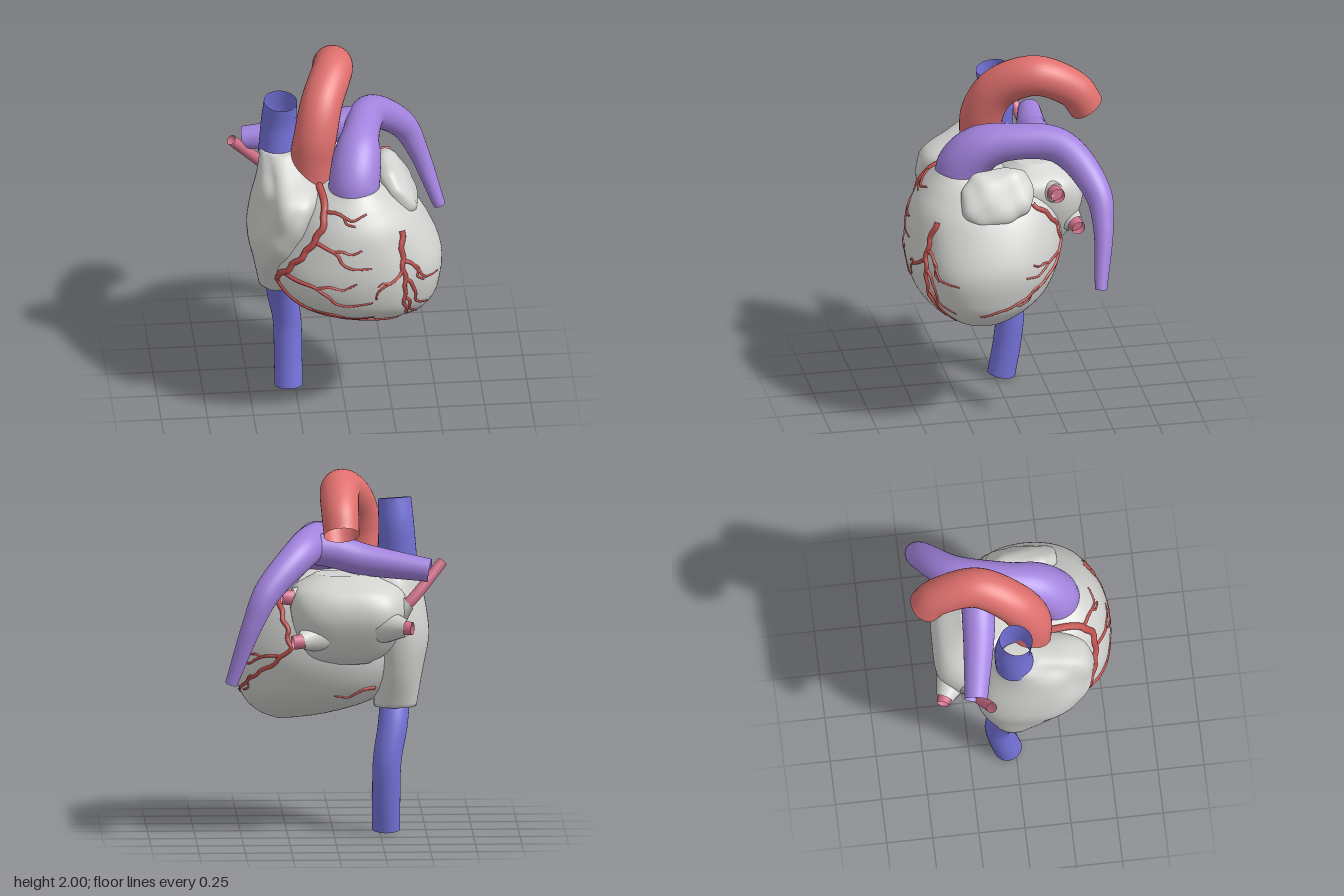
import * as THREE from 'three';

const mat = (name, color, side = THREE.FrontSide) => {
  const m = new THREE.MeshStandardMaterial({ color, side });
  m.name = name;
  return m;
};
const bell = (x, centre, width) => Math.exp(-(((x - centre) / width) ** 2));

// Closed loft of rounded horizontal sections; rows are [y, xMin, xMax, zMin, zMax]
function loft(rows, power, bump, steps = 56, sides = 72) {
  const spline = (pick) => new THREE.CatmullRomCurve3(rows.map(pick), false, 'catmullrom', 0.5);
  const mid = spline(([y, a, b, c, d]) => new THREE.Vector3((a + b) / 2, y, (c + d) / 2));
  const half = spline(([, a, b, c, d]) => new THREE.Vector3((b - a) / 2, 0, (d - c) / 2));
  const pos = [], idx = [];
  const bend = (v) => Math.sign(v) * Math.abs(v) ** (2 / power);
  for (let i = 0; i <= steps; i++) {
    const c = mid.getPoint(i / steps), r = half.getPoint(i / steps);
    for (let j = 0; j < sides; j++) {
      const a = (j / sides) * Math.PI * 2, k = 1 + bump(a, c.y);
      pos.push(c.x + bend(Math.cos(a)) * r.x * k, c.y, c.z + bend(Math.sin(a)) * r.z * k);
      if (i < steps) {
        const n = (j + 1) % sides, p = i * sides;
        idx.push(p + j, p + sides + j, p + n, p + sides + j, p + sides + n, p + n);
      }
    }
  }
  const base = pos.length / 3, top = steps * sides;
  pos.push(...mid.getPoint(0).toArray(), ...mid.getPoint(1).toArray());
  for (let j = 0; j < sides; j++) {
    const n = (j + 1) % sides;
    idx.push(base, j, n, base + 1, top + n, top + j);
  }
  const g = new THREE.BufferGeometry();
  g.setAttribute('position', new THREE.Float32BufferAttribute(pos, 3));
  g.setIndex(idx);
  g.computeVertexNormals();
  return g;
}

// Open tube whose radius changes along the path; rows are [x, y, z, radius]
function vessel(rows, segs = 64, sides = 32) {
  const curve = new THREE.CatmullRomCurve3(rows.map((p) => new THREE.Vector3(p[0], p[1], p[2])));
  const radii = new THREE.CatmullRomCurve3(rows.map((p) => new THREE.Vector3(p[3], 0, 0)), false, 'catmullrom', 0.5);
  const g = new THREE.TubeGeometry(curve, segs, 1, sides);
  const p = g.attributes.position, n = g.attributes.normal;
  for (let i = 0; i <= segs; i++) {
    const u = i / segs, c = curve.getPointAt(u), r = radii.getPoint(curve.getUtoTmapping(u)).x;
    for (let j = 0; j <= sides; j++) {
      const k = i * (sides + 1) + j;
      p.setXYZ(k, c.x + n.getX(k) * r, c.y + n.getY(k) * r, c.z + n.getZ(k) * r);
    }
  }
  return g;
}

export function createModel() {
  const root = new THREE.Group();
  root.name = 'heart';
  const muscle = mat('muscleGrey', 0xd2d2d0);
  const red = mat('aortaRed', 0xdf706e, THREE.DoubleSide);
  const blue = mat('veinBlue', 0x7573da, THREE.DoubleSide);
  const purple = mat('pulmonaryPurple', 0xa383de, THREE.DoubleSide);
  const pink = mat('pulmonaryVeinPink', 0xd2728c, THREE.DoubleSide);
  const coronary = mat('coronaryRed', 0xc2524f);

  const add = (name, geometry, material) => {
    const m = new THREE.Mesh(geometry, material);
    m.name = name;
    root.add(m);
    return m;
  };

  // Ventricles: shallow groove between the chambers, fuller on both front corners
  const chambers = (a, y) => 0.05 * bell(a, 2.35, 0.45) * bell(y, 0.88, 0.2) + 0.03 * bell(a, 0.6, 0.35) * bell(y, 0.9, 0.25)
    - 0.035 * bell(a, 0.98, 0.13) * THREE.MathUtils.smoothstep(1.3 - y, 0, 0.25);
  const ventricles = add('ventricles', loft([
    [0.598, 0.22, 0.31, 0.1, 0.2], [0.63, 0, 0.395, 0, 0.34], [0.7, -0.22, 0.47, -0.13, 0.45],
    [0.8, -0.35, 0.512, -0.23, 0.52], [0.98, -0.4, 0.52, -0.29, 0.55], [1.2, -0.32, 0.415, -0.27, 0.52],
    [1.33, -0.23, 0.3, -0.16, 0.455], [1.42, -0.07, 0.17, 0.12, 0.38],
  ], 2.1, chambers), muscle);

  // Right atrium: lumpy front edge, outer front corner drawn in towards the top
  const lumps = (a, y) => Math.max(0, Math.sin(a)) * (0.018 * Math.sin(7 * a + 19 * y) + 0.012 * Math.sin(31 * y - 4 * a))
    - 0.2 * bell(a, 2.35, 0.5) * THREE.MathUtils.smoothstep(y, 0.98, 1.35);
  const rightAtrium = add('rightAtrium', loft([
    [0.685, -0.45, -0.22, -0.13, 0.1], [0.87, -0.485, -0.22, -0.19, 0.26], [1.05, -0.52, -0.19, -0.22, 0.37],
    [1.2, -0.51, -0.15, -0.22, 0.42], [1.36, -0.478, -0.13, -0.18, 0.41], [1.46, -0.457, -0.2, -0.12, 0.25],
    [1.54, -0.445, -0.245, -0.09, 0.12],
  ], 2.2, lumps), muscle);

  // Left atrium at the back, fuller on the side of the right veins
  add('leftAtrium', loft([
    [0.95, -0.2, 0.1, -0.28, -0.05], [1.02, -0.3, 0.17, -0.36, 0], [1.2, -0.385, 0.235, -0.425, 0.05],
    [1.34, -0.36, 0.23, -0.39, 0.05], [1.43, -0.18, 0.1, -0.26, -0.05],
  ], 2.7, (a, y) => 0.015 * Math.sin(3 * a + 9 * y) + 0.08 * bell(a, 4.2, 0.4) * bell(y, 1.2, 0.15)), muscle);

  // Left auricle: a flattened, boxy, lumpy flap
  const flap = new THREE.SphereGeometry(1, 48, 32);
  const fp = flap.attributes.position, v = new THREE.Vector3();
  const boxy = (s) => Math.sign(s) * Math.abs(s) ** 0.8;
  for (let i = 0; i < fp.count; i++) {
    v.fromBufferAttribute(fp, i);
    const k = 1 + 0.03 * Math.sin(6 * v.y + 4 * v.z) + 0.03 * Math.sin(9 * v.z - 3 * v.y);
    fp.setXYZ(i, boxy(v.x) * k, boxy(v.y) * k - 0.15 * v.z, boxy(v.z) * k);
  }
  flap.scale(0.075, 0.155, 0.2).rotateZ(0.56).translate(0.285, 1.338, 0.095);
  flap.computeVertexNormals();
  const auricle = add('leftAuricle', flap, muscle);

  // Great vessels
  add('aorta', vessel([
    [-0.175, 1.3, 0.09, 0.105], [-0.172, 1.5, 0.095, 0.115], [-0.15, 1.65, 0.09, 0.116], [-0.11, 1.8, 0.01, 0.113],
    [-0.035, 1.89, -0.18, 0.109], [-0.025, 1.79, -0.39, 0.101], [-0.03, 1.685, -0.458, 0.096],
  ]), red);
  add('pulmonaryTrunkAndLeftArtery', vessel([
    [0.04, 1.3, 0.24, 0.13], [0.045, 1.42, 0.245, 0.138], [0.07, 1.53, 0.15, 0.13], [0.1, 1.573, 0, 0.102],
    [0.18, 1.56, -0.27, 0.094], [0.37, 1.37, -0.435, 0.075], [0.45, 1.2, -0.455, 0.056], [0.565, 0.87, -0.42, 0.033],
  ]), purple);
  add('rightPulmonaryArtery', vessel([
    [0.14, 1.57, -0.17, 0.085], [0, 1.55, -0.17, 0.09], [-0.15, 1.51, -0.182, 0.086], [-0.515, 1.455, -0.238, 0.062],
  ]), purple);
  add('inferiorVenaCava', vessel([
    [-0.335, 0.72, 0, 0.08], [-0.32, 0.58, -0.055, 0.08], [-0.29, 0.4, -0.088, 0.077], [-0.285, 0.2, -0.072, 0.076],
    [-0.285, 0.013, -0.04, 0.076],
  ]), blue);
  add('superiorVenaCava', vessel([[-0.347, 1.5, -0.01, 0.105], [-0.34, 1.68, -0.02, 0.096], [-0.332, 1.815, 0, 0.09]]), blue);

  // Pulmonary veins: grey sleeve from the left atrium, open pink end with a floor inside
  const vein = (a, b, c, radius) => {
    const neck = a.map((s, i) => s * 0.4 + b[i] * 0.6);
    add('pulmonaryVeinSleeve', vessel([[...a, 0.1], [...neck, radius + 0.03], [...b, radius + 0.008]], 16, 24), muscle);
    add('pulmonaryVein', vessel([[...a, radius], [...b, radius], [...c, radius * 0.92]], 20, 20), pink);
    const floor = add('pulmonaryVeinFloor', new THREE.CircleGeometry(radius, 20), pink);
    floor.position.set(...b);
    floor.lookAt(...c);
  };
  vein([-0.3, 1.2, -0.25], [-0.4, 1.28, -0.25], [-0.585, 1.49, -0.16], 0.031);
  vein([-0.26, 1.17, -0.33], [-0.385, 1.165, -0.395], [-0.415, 1.165, -0.405], 0.038);
  vein([0.12, 1.29, -0.2], [0.235, 1.31, -0.235], [0.285, 1.315, -0.24], 0.042);
  vein([0.06, 1.12, -0.3], [0.185, 1.09, -0.355], [0.23, 1.085, -0.365], 0.04);

  // Coronary arteries: flat paths dropped onto the heart surface
  const ray = new THREE.Raycaster();
  const targets = [ventricles, rightAtrium, auricle];
  targets.forEach((m) => m.updateMatrixWorld());
  const sides = {
    front: (s, y) => ray.set(new THREE.Vector3(s, y, 3), new THREE.Vector3(0, 0, -1)),
    back: (s, y) => ray.set(new THREE.Vector3(s, y, -3), new THREE.Vector3(0, 0, 1)),
    left: (s, y) => ray.set(new THREE.Vector3(3, y, s), new THREE.Vector3(-1, 0, 0)),
  };
  const lay = (name, side, path, r0, r1) => {
    const flat = new THREE.CatmullRomCurve3(path.map(([s, y]) => new THREE.Vector3(s, y, 0)));
    const rows = [], count = Math.max(5, Math.round(flat.getLength() / 0.03));
    for (let i = 0; i <= count; i++) {
      const q = flat.getPointAt(i / count);
      sides[side](q.x + 0.006 * Math.sin(i * 1.7), q.y);
      const hit = ray.intersectObjects(side === 'back' ? [ventricles] : targets)[0];
      if (hit) rows.push([...hit.point.toArray(), THREE.MathUtils.lerp(r0, r1, i / count)]);
    }
    add(name, vessel(rows, count * 2, 8), coronary);
  };

  // Main arteries; the right one leaves the aortic root and follows the atrial edge
  lay('rightCoronary', 'front', [
    [-0.15, 1.4], [-0.125, 1.36], [-0.14, 1.28], [-0.225, 1.13], [-0.33, 0.985], [-0.375, 0.88], [-0.31, 0.79], [-0.02, 0.675],
    [0.28, 0.625],
  ], 0.021, 0.01);
  lay('leftDescending', 'front', [[0.285, 1.22], [0.285, 1.05], [0.3, 0.93], [0.295, 0.81], [0.32, 0.68]], 0.018, 0.009);
  lay('circumflex', 'left', [[-0.1, 1.28], [-0.2, 1.19], [-0.255, 1.07], [-0.235, 0.97], [-0.02, 0.81], [0.22, 0.725]], 0.015, 0.006);

  // Side branches: a wavy line at an angle, with a smaller twig forking off
  const branch = (side, s, y, angle, length, radius, twig) => {
    const path = [0, 1, 2, 3].map((i) => {
      const a = angle + 0.14 * Math.sin(i * 2.2), d = (length * i) / 3;
      return [s + d * Math.cos(a), y + d * Math.sin(a)];
    });
    lay('coronaryBranch', side, path, radius, 0.005);
    if (twig) branch(side, ...path[1], angle + twig, length * 0.45, radius * 0.75, 0);
  };
  branch('front', -0.34, 0.96, -0.3, 0.48, 0.012, 0.45);
  branch('front', -0.195, 1.19, -0.45, 0.33, 0.012, 0.5);
  branch('front', -0.13, 1.34, -0.03, 0.22, 0.011, -0.6);
  branch('front', -0.2, 0.73, -0.09, 0.33, 0.01, 0);
  branch('front', 0.29, 1.06, -0.7, 0.24, 0.012, -0.5);
  branch('front', 0.305, 0.95, -1.09, 0.25, 0.012, 0);
  branch('front', 0.3, 0.83, -1.16, 0.18, 0.01, 0);
  branch('front', 0.285, 1.02, -2.37, 0.22, 0.011, -0.6);
  branch('left', -0.24, 0.99, -0.28, 0.22, 0.009, 0.5);
  branch('left', -0.1, 0.865, -0.74, 0.15, 0.008, 0);
  branch('back', -0.22, 0.8, -0.2, 0.22, 0.012, 0);
  return root;
}
